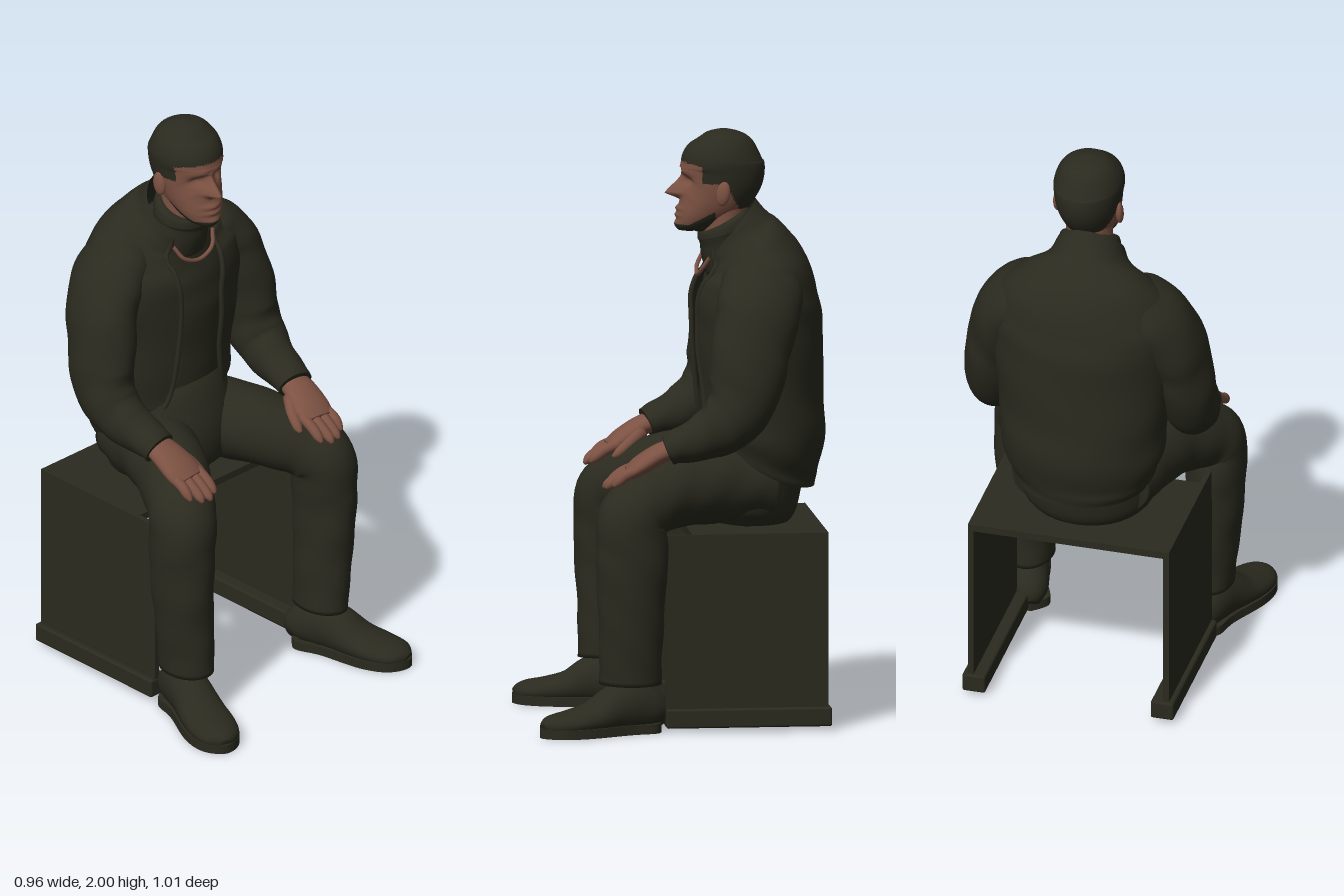
import * as THREE from 'three';
import { RoundedBoxGeometry } from 'three/addons/geometries/RoundedBoxGeometry.js';

const olive = new THREE.MeshStandardMaterial({ color: 0x2a2a1f, side: THREE.DoubleSide });
olive.name = 'dark olive';
const skin = new THREE.MeshStandardMaterial({ color: 0x7b5142 });
skin.name = 'skin';

function add(parent, name, geometry, material, x = 0, y = 0, z = 0) {
  const mesh = new THREE.Mesh(geometry, material);
  mesh.name = name;
  mesh.position.set(x, y, z);
  parent.add(mesh);
  return mesh;
}

// Smooth skin over elliptical sections, each row [x, y, z, halfWidth, halfDepth].
// ripple adds cloth folds, gap opens the front, deform moves points, paint picks a material.
function loft(rows, { rings = 32, sides = 32, ripple = 0, gap = null, deform = null, paint = null } = {}) {
  const path = new THREE.CatmullRomCurve3(rows.map(r => new THREE.Vector3(r[0], r[1], r[2])), false, 'catmullrom');
  const size = new THREE.CatmullRomCurve3(rows.map(r => new THREE.Vector3(r[3], r[4], 0)), false, 'catmullrom');
  const pos = [], cols = gap ? sides + 1 : sides;
  for (let i = 0; i <= rings; i++) {
    const s = i / rings, c = path.getPoint(s), r = size.getPoint(s), t = path.getTangent(s);
    const u = new THREE.Vector3(1, 0, 0).addScaledVector(t, -t.x).normalize();
    const v = t.clone().cross(u);
    const g = gap ? gap(s) : 0;
    for (let j = 0; j < cols; j++) {
      const a = -Math.PI / 2 + g + (2 * Math.PI - 2 * g) * j / sides;
      const k = 1 + ripple * Math.sin(s * 38 + 2.2 * Math.sin(a)) * Math.sin(2 * a + s * 9);
      const p = c.clone()
        .addScaledVector(u, Math.cos(a) * k * Math.max(r.x, 0.001))
        .addScaledVector(v, Math.sin(a) * k * Math.max(r.y, 0.001));
      if (deform) deform(p, a, s);
      pos.push(p.x, p.y, p.z);
    }
  }
  const tris = [];
  for (let i = 0; i < rings; i++) for (let j = 0; j < sides; j++) {
    const n = (j + 1) % cols, a = i * cols + j, b = i * cols + n, d = a + cols, e = b + cols;
    tris.push([a, b, e], [a, e, d]);
  }
  if (!gap) {
    for (const end of [0, 1]) {
      const c = path.getPoint(end), o = end * rings * cols, m = pos.length / 3;
      if (deform) deform(c, 0, end);
      pos.push(c.x, c.y, c.z);
      for (let j = 0; j < cols; j++) {
        const n = (j + 1) % cols;
        tris.push(end ? [m, o + j, o + n] : [m, o + n, o + j]);
      }
    }
  }
  const geo = new THREE.BufferGeometry();
  geo.setAttribute('position', new THREE.Float32BufferAttribute(pos, 3));
  if (paint) {
    const sets = [[], []];
    for (const f of tris) {
      const m = [0, 1, 2].map(k => (pos[f[0] * 3 + k] + pos[f[1] * 3 + k] + pos[f[2] * 3 + k]) / 3);
      sets[paint(...m)].push(...f);
    }
    geo.setIndex([...sets[0], ...sets[1]]);
    geo.addGroup(0, sets[0].length, 0);
    geo.addGroup(sets[0].length, sets[1].length, 1);
  } else geo.setIndex(tris.flat());
  geo.computeVertexNormals();
  return geo;
}

const tube = (pts, r, n = 32) => new THREE.TubeGeometry(
  new THREE.CatmullRomCurve3(pts.map(p => new THREE.Vector3(...p))), n, r, 8);

function buildBench(root) {
  const bench = new THREE.Group();
  bench.name = 'bench';
  add(bench, 'seat', new THREE.BoxGeometry(0.7, 0.025, 0.46), olive, 0, 0.658, -0.25);
  for (const s of [1, -1]) {
    add(bench, 'sidePanel', new THREE.BoxGeometry(0.02, 0.59, 0.55), olive, s * 0.34, 0.375, -0.205);
    add(bench, 'skid', new RoundedBoxGeometry(0.08, 0.065, 0.56, 2, 0.008), olive, s * 0.328, 0.048, -0.21);
  }
  root.add(bench);
}

function buildTorso(root) {
  add(root, 'hips', loft([[0, 0.67, -0.22, 0.17, 0.14], [0, 0.72, -0.225, 0.225, 0.185], [0, 0.82, -0.225, 0.24, 0.205],
    [0, 0.92, -0.24, 0.23, 0.195], [0, 0.99, -0.26, 0.21, 0.175]]), olive);
  add(root, 'sweater', loft([[0, 0.9, -0.27, 0.21, 0.18], [0, 1.1, -0.27, 0.24, 0.185], [0, 1.3, -0.27, 0.27, 0.195],
    [0, 1.45, -0.25, 0.25, 0.165], [0, 1.55, -0.22, 0.17, 0.12], [0, 1.62, -0.185, 0.105, 0.095]], { ripple: 0.01 }), olive);
  // Rolled collar, lower at the throat
  add(root, 'turtleneck', loft([[0.005, 1.54, -0.2, 0.12, 0.1], [0.007, 1.6, -0.18, 0.104, 0.095], [0.01, 1.64, -0.17, 0.1, 0.088],
    [0.01, 1.655, -0.168, 0.106, 0.092], [0.01, 1.685, -0.165, 0.1, 0.088], [0.01, 1.695, -0.164, 0.085, 0.075]],
  { deform: (p, a, s) => { p.y += 0.035 * Math.sin(a) * s; } }), olive);

  // Open jacket with a raised front hem and rolled front edges
  const rows = [[0, 0.81, -0.275, 0.24, 0.195], [0, 0.86, -0.28, 0.255, 0.2], [0, 0.96, -0.29, 0.28, 0.213], [0, 1.1, -0.286, 0.29, 0.215],
    [0, 1.3, -0.277, 0.31, 0.22], [0, 1.42, -0.27, 0.325, 0.215], [0, 1.52, -0.265, 0.3, 0.187],
    [0, 1.59, -0.245, 0.23, 0.152], [0, 1.65, -0.212, 0.145, 0.123], [0, 1.725, -0.18, 0.112, 0.098]];
  const gap = s => 0.85 - 0.55 * Math.sin(Math.PI * s);
  const shape = (p, a, s) => {
    const front = (1 - Math.sin(a)) / 2;
    p.y += 0.13 * front * front * Math.max(0, 1 - s * 4) - 0.12 * front * Math.max(0, s * 5 - 4);
  };
  const jacket = loft(rows, { rings: 56, sides: 56, ripple: 0.014, gap, deform: shape });
  add(root, 'jacket', jacket, olive);
  const at = jacket.attributes.position;
  for (const col of [0, 56]) {
    const edge = [];
    for (let i = 0; i <= 56; i += 4) {
      const k = i * 57 + col;
      edge.push([at.getX(k), at.getY(k), at.getZ(k)]);
    }
    add(root, 'jacketEdge', tube(edge, 0.009, 56), olive);
  }
  add(root, 'necklace', tube([[-0.092, 1.575, -0.108], [-0.065, 1.528, -0.082], [0, 1.505, -0.075],
    [0.065, 1.528, -0.082], [0.092, 1.575, -0.108]], 0.007), skin);
}

function buildHead(root) {
  const head = new THREE.Group();
  head.name = 'head';
  head.position.set(0.015, 0, -0.155);
  head.rotation.y = -0.1;
  const bump = (d, w) => Math.exp(-(d * d) / (w * w));
  // Eye sockets, brow ridge, nose, lips and chin shaped into the face
  const face = p => {
    if (p.z < 0.06) return;
    const ax = Math.abs(p.x), y = p.y;
    const ridge = y > 1.782 ? Math.max(0, (1.856 - y) / 0.074) : Math.max(0, (y - 1.762) / 0.02);
    p.z -= 0.015 * bump(ax - 0.042, 0.024) * bump(y - 1.828, 0.016);
    p.z += 0.006 * bump(ax - 0.035, 0.04) * bump(y - 1.858, 0.014);
    p.z += 0.055 * ridge * bump(ax, 0.012 + 0.011 * ridge);
    p.z += bump(ax, 0.035) * (0.01 * bump(y - 1.732, 0.009) + 0.009 * bump(y - 1.71, 0.008) + 0.008 * bump(y - 1.678, 0.015));
  };
  // Hair and beard are material 1
  const paint = (x, y, z) => {
    const hairline = z > 0.065 ? 1.892 - 6 * Math.max(0, Math.abs(x) - 0.06) ** 2
      : z > -0.015 ? 1.825 : Math.max(1.735, 1.825 + (z + 0.015) * 2);
    const beard = z > 0.02 && y < 1.68 + 0.55 * Math.max(0, 0.11 - z);
    return y > hairline || beard ? 1 : 0;
  };
  add(head, 'skull', loft([[0, 1.655, 0.115, 0.02, 0.02], [0, 1.67, 0.113, 0.05, 0.042], [0, 1.7, 0.0925, 0.072, 0.065],
    [0, 1.74, 0.06, 0.088, 0.095], [0, 1.79, 0.0225, 0.102, 0.1225], [0, 1.85, -0.0015, 0.112, 0.1415], [0, 1.9, -0.0035, 0.117, 0.1365],
    [0, 1.95, -0.0075, 0.1, 0.1075], [0, 1.985, -0.0075, 0.066, 0.0625], [0, 2, -0.0075, 0.012, 0.012]],
  { rings: 96, sides: 144, deform: face, paint }), [skin, olive]);
  for (const s of [1, -1]) {
    const ear = add(head, 'ear', new THREE.SphereGeometry(1, 16, 12), skin, s * 0.11, 1.793, -0.005);
    ear.scale.set(0.014, 0.042, 0.024);
    ear.rotation.set(-0.15, s * -0.3, 0);
  }
  root.add(head);
  add(root, 'neck', loft([[0.01, 1.62, -0.17, 0.08, 0.075], [0.012, 1.7, -0.165, 0.079, 0.074], [0.015, 1.78, -0.17, 0.08, 0.075]]), skin);
}

function buildArm(root, s) {
  const arm = new THREE.Group();
  arm.name = s > 0 ? 'leftArm' : 'rightArm';
  const side = rows => rows.map(([x, ...rest]) => [x * s, ...rest]);
  // Sleeve flows out of the shoulder slope and bends at the elbow
  add(arm, 'sleeve', loft(side([[0.12, 1.545, -0.27, 0.06, 0.09], [0.2, 1.5, -0.267, 0.096, 0.135], [0.275, 1.41, -0.252, 0.106, 0.142],
    [0.318, 1.28, -0.218, 0.1, 0.134], [0.338, 1.14, -0.195, 0.096, 0.12], [0.343, 1.05, -0.14, 0.09, 0.1],
    [0.333, 1.0, -0.06, 0.077, 0.08], [0.322, 0.968, 0.03, 0.067, 0.058], [0.318, 0.955, 0.06, 0.066, 0.052]]),
  { rings: 64, ripple: 0.03 }), olive);
  add(arm, 'palm', loft(side([[0.32, 0.965, 0.03, 0.05, 0.035], [0.314, 0.942, 0.09, 0.062, 0.034],
    [0.306, 0.905, 0.15, 0.07, 0.032], [0.302, 0.878, 0.19, 0.064, 0.024]])), skin);
  for (let i = 0; i < 4; i++) {
    const x = 0.25 + i * 0.034, z = [0.258, 0.275, 0.27, 0.248][i], y = 0.828 + (0.27 - z) * 0.5;
    add(arm, 'finger', loft(side([[x, 0.897, 0.155, 0.016, 0.017], [x, 0.876, 0.205, 0.018, 0.018],
      [x, y + 0.016, z - 0.018, 0.016, 0.016], [x, y, z, 0.006, 0.006]]), { rings: 14, sides: 14 }), skin);
  }
  add(arm, 'thumb', loft(side([[0.268, 0.935, 0.08, 0.02, 0.024], [0.24, 0.9, 0.125, 0.021, 0.02],
    [0.226, 0.868, 0.165, 0.017, 0.016], [0.222, 0.855, 0.185, 0.006, 0.006]]), { rings: 14, sides: 14 }), skin);
  root.add(arm);
}

function buildLeg(root, s) {
  const leg = new THREE.Group();
  leg.name = s > 0 ? 'leftLeg' : 'rightLeg';
  add(leg, 'trouserLeg', loft([[0.11, 0.81, -0.3, 0.13, 0.12], [0.15, 0.82, -0.15, 0.135, 0.135], [0.21, 0.81, 0, 0.127, 0.13],
    [0.285, 0.772, 0.12, 0.117, 0.115], [0.325, 0.715, 0.182, 0.11, 0.118], [0.333, 0.6, 0.182, 0.1, 0.122], [0.33, 0.45, 0.185, 0.094, 0.115],
    [0.32, 0.3, 0.185, 0.087, 0.107], [0.313, 0.165, 0.187, 0.08, 0.106]].map(([x, ...r]) => [x * s, ...r]),
  { rings: 72, sides: 40, ripple: 0.022 }), olive);

  // Shoe pointing outwards
  const shoe = new THREE.Group();
  shoe.name = 'shoe';
  shoe.position.set(s * 0.285, 0, 0.08);
  shoe.rotation.y = s * 0.33;
  const upper = [[0, 0.06, 0.03], [0.03, 0.13, 0.06], [0.1, 0.18, 0.07], [0.17, 0.165, 0.073], [0.25, 0.115, 0.082], [0.33, 0.09, 0.084],
    [0.4, 0.075, 0.066], [0.435, 0.05, 0.025]];
  add(shoe, 'upper', loft(upper.map(([z, h, w]) => [0, h / 2, z, w, h / 2]),
    { rings: 40, deform: p => { p.y = Math.max(p.y, 0.015); } }), olive);
  const outline = new THREE.Shape(new THREE.SplineCurve([[0, 0], [0.066, -0.04], [0.066, -0.14], [0.087, -0.3], [0.066, -0.4], [0, -0.445],
    [-0.066, -0.4], [-0.087, -0.3], [-0.066, -0.14], [-0.066, -0.04], [0, 0]].map(p => new THREE.Vector2(...p))).getPoints(60));
  const sole = new THREE.ExtrudeGeometry(outline, { depth: 0.032, bevelEnabled: false }).rotateX(-Math.PI / 2);
  add(shoe, 'sole', sole, olive);
  for (let i = 0; i < 3; i++) {
    const z = 0.19 + i * 0.025, y = 0.155 - i * 0.017;
    add(shoe, 'lace', tube([[-0.035, y - 0.018, z], [0, y + 0.002, z + 0.003], [0.035, y - 0.018, z]], 0.004, 10), olive);
  }
  leg.add(shoe);
  root.add(leg);
}

export function createModel() {
  const root = new THREE.Group();
  root.name = 'seatedMan';
  buildBench(root);
  buildTorso(root);
  buildHead(root);
  for (const s of [1, -1]) {
    buildArm(root, s);
    buildLeg(root, s);
  }
  return root;
}
